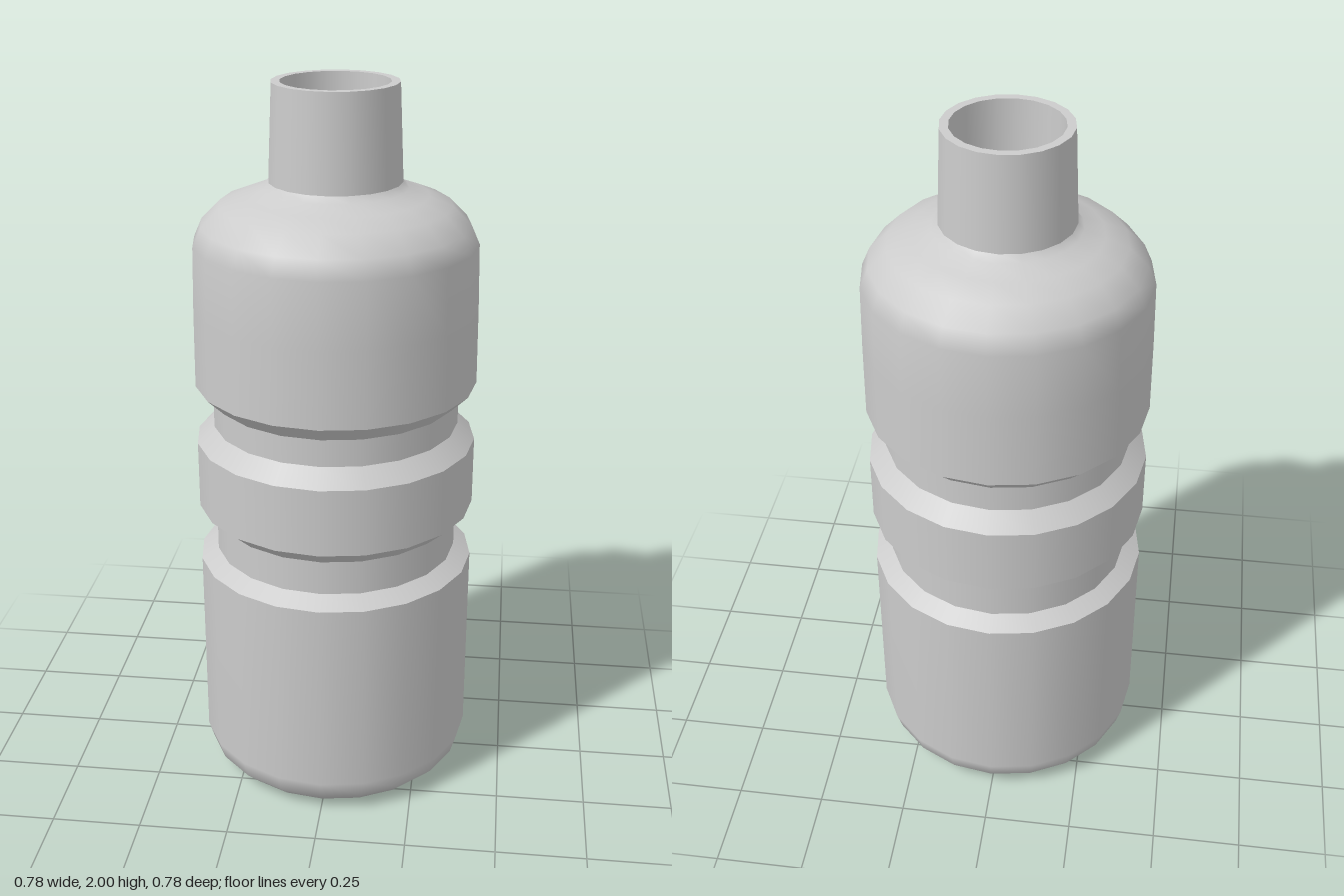
import * as THREE from 'three';

const SIDES = 20;

export function createModel() {
  const bottle = new THREE.Group();
  bottle.name = 'bottle';
  const material = new THREE.MeshStandardMaterial({ color: 0xcccccc });

  // Each smooth strip is its own lathe, so edges between strips stay sharp
  const addPart = (name, ...strips) => {
    const part = new THREE.Group();
    part.name = name;
    for (const strip of strips) {
      const points = strip.map(([r, y]) => new THREE.Vector2(r, y));
      const mesh = new THREE.Mesh(new THREE.LatheGeometry(points, SIDES), material);
      mesh.name = name + 'Surface';
      part.add(mesh);
    }
    bottle.add(part);
  };

  // Flat underside and lower body with a rounded foot
  addPart('base', [[0, 0], [0.29, 0]]);
  addPart('lowerBody', [[0.29, 0], [0.34, 0.015], [0.375, 0.05], [0.39, 0.1], [0.39, 0.66]]);

  // Two grooves with bevelled walls, either side of the grip band
  const groove = (name, y0, y1, y2, y3) => addPart(name,
    [[0.39, y0], [0.342, y1]],
    [[0.342, y1], [0.342, y2]],
    [[0.342, y2], [0.39, y3]]);
  groove('lowerGroove', 0.66, 0.69, 0.787, 0.83);
  addPart('gripBand', [[0.39, 0.83], [0.39, 1.02]]);
  groove('upperGroove', 1.02, 1.067, 1.143, 1.19);

  // Upper body curving into the shoulder
  addPart('shoulder', [[0.39, 1.19], [0.388, 1.4], [0.384, 1.58], [0.362, 1.63],
    [0.312, 1.68], [0.25, 1.705], [0.195, 1.725], [0.179, 1.742]]);

  // Tapered neck with a rim, open down to a closed floor
  addPart('neck',
    [[0.179, 1.742], [0.168, 2]],
    [[0.168, 2], [0.145, 2]],
    [[0.145, 2], [0.14, 1.74]],
    [[0.14, 1.74], [0, 1.74]]);

  return bottle;
}
